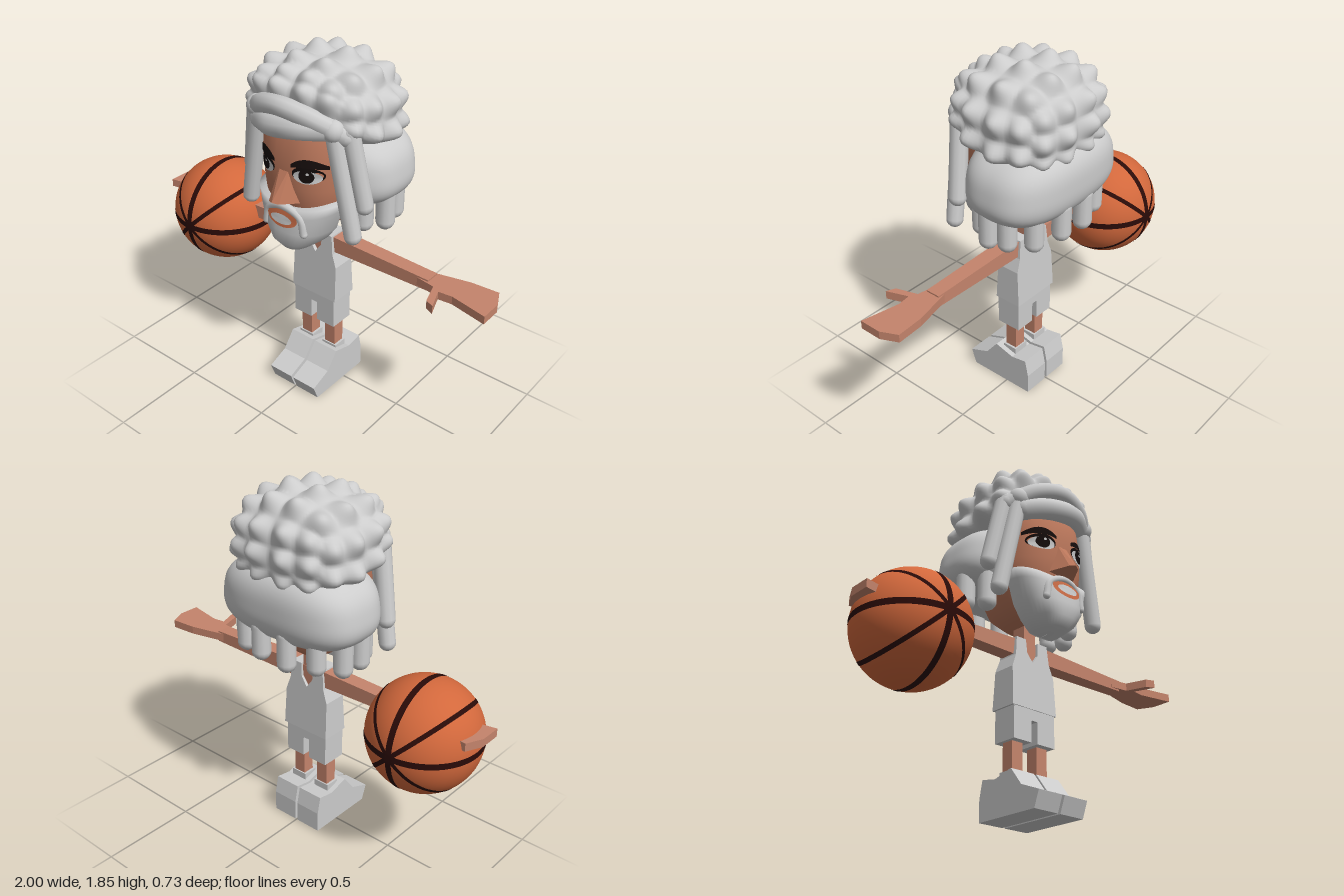
import * as THREE from 'three';
import { mergeVertices } from 'three/addons/utils/BufferGeometryUtils.js';
import { ConvexGeometry } from 'three/addons/geometries/ConvexGeometry.js';

const mat = (name, color, flatShading = false) =>
  Object.assign(new THREE.MeshStandardMaterial({ color, flatShading }), { name });
const V = (x, y, z) => new THREE.Vector3(x, y, z);

export function createModel() {
  const root = new THREE.Group();
  const skin = mat('skin', 0xc4846c), faceSkin = mat('face skin', 0xbc785c);
  const white = mat('pale grey', 0xcccccc), black = mat('black', 0x140c0b);
  const orange = mat('ball orange', 0xd2683c), seam = mat('ball seam', 0x2a0b08);
  const lip = mat('lip', 0xcb6d47);

  const add = (name, geo, material) => {
    const m = new THREE.Mesh(geo, material);
    m.name = name;
    root.add(m);
    return m;
  };
  // move every vertex by a rule
  const bend = (geo, rule) => {
    const p = geo.attributes.position, v = V(0, 0, 0);
    for (let i = 0; i < p.count; i++) {
      rule(v.fromBufferAttribute(p, i));
      p.setXYZ(i, v.x, v.y, v.z);
    }
    geo.computeVertexNormals();
    return geo;
  };
  const box = (name, w, h, d, x, y, z, m) => add(name, new THREE.BoxGeometry(w, h, d).translate(x, y, z), m);
  const extrude = (pts, depth) => new THREE.ExtrudeGeometry(
    new THREE.Shape(pts.map(([x, y]) => new THREE.Vector2(x, y))), { depth, bevelEnabled: false });
  const capsule = (name, a, b, r, m) => {
    const o = add(name, new THREE.CapsuleGeometry(r, a.distanceTo(b), 6, 12), m);
    o.position.copy(a).add(b).multiplyScalar(0.5);
    o.quaternion.setFromUnitVectors(V(0, 1, 0), b.clone().sub(a).normalize());
    return o;
  };
  const tube = (name, pts, r, m) => {
    add(name, new THREE.TubeGeometry(new THREE.CatmullRomCurve3(pts), 32, r, 10), m);
    for (const p of [pts[0], pts[pts.length - 1]])
      add(name + 'End', new THREE.SphereGeometry(r, 12, 8).translate(p.x, p.y, p.z), m);
  };
  // rounded cross-sections stacked upward; rows are [y, halfWidth, frontDepth, backDepth]
  const N = 2.5;
  const loft = (rows, zc, seg = 48) => {
    const pos = [], idx = [];
    const pw = t => Math.sign(t) * Math.abs(t) ** (2 / N);
    rows.forEach(([y, w, f, b], i) => {
      for (let j = 0; j < seg; j++) {
        const a = j / seg * Math.PI * 2, c = pw(Math.cos(a)), s = pw(Math.sin(a));
        pos.push(w * c, y, zc + s * (s > 0 ? f : b));
        if (i + 1 < rows.length) {
          const p = i * seg + j, q = i * seg + (j + 1) % seg;
          idx.push(p, p + seg, q, q, p + seg, q + seg);
        }
      }
    });
    const g = new THREE.BufferGeometry();
    g.setAttribute('position', new THREE.Float32BufferAttribute(pos, 3));
    g.setIndex(idx);
    g.computeVertexNormals();
    return g;
  };
  const frontZ = (rows, zc, x, y) => {
    let i = 0;
    while (i < rows.length - 2 && rows[i + 1][0] < y) i++;
    const [a, b] = [rows[i], rows[i + 1]], t = (y - a[0]) / (b[0] - a[0]);
    const mix = k => a[k] + (b[k] - a[k]) * t;
    return zc + mix(2) * Math.max(0, 1 - Math.abs(x / mix(1)) ** N) ** (1 / N);
  };
  // thin painted plate laid on a lofted surface
  const paint = (name, geo, rows, zc, off, m) =>
    add(name, bend(geo, v => { v.z = frontZ(rows, zc, v.x, v.y) + off; }), m);
  const oval = (rx, ry, x, y) => new THREE.CircleGeometry(1, 28).scale(rx, ry, 1).translate(x, y, 0);

  // head
  const head = [[0.98, 0.001, 0.001, 0.001], [0.985, 0.1, 0.14, 0.1], [1.04, 0.18, 0.23, 0.16],
    [1.15, 0.23, 0.27, 0.2], [1.25, 0.24, 0.28, 0.22], [1.38, 0.245, 0.285, 0.24],
    [1.52, 0.245, 0.26, 0.24], [1.62, 0.2, 0.2, 0.2], [1.63, 0.001, 0.001, 0.001]];
  add('head', loft(head, 0), faceSkin);
  const nose = [V(0, 1.2, 0.37), V(0, 1.165, 0.26)];
  for (const s of [-1, 1]) nose.push(V(s * 0.03, 1.37, 0.26), V(s * 0.03, 1.195, 0.355),
    V(s * 0.085, 1.18, 0.26), V(s * 0.07, 1.21, 0.27));
  add('nose', new ConvexGeometry(nose), faceSkin);

  // eyes and brows
  for (const s of [-1, 1]) {
    paint('eyeOutline', oval(0.07, 0.042, s * 0.122, 1.338), head, 0, 0.003, black);
    paint('eyeWhite', oval(0.062, 0.034, s * 0.122, 1.328), head, 0, 0.005, white);
    paint('iris', oval(0.034, 0.034, s * 0.122, 1.334), head, 0, 0.007, black);
    paint('eyeGlint', oval(0.007, 0.007, s * 0.122 + 0.008, 1.348), head, 0, 0.009, white);
    const brow = bend(new THREE.PlaneGeometry(0.155, 1, 12, 2), v => {
      const t = v.x / 0.0775;
      v.y = v.y * 0.04 * (1 - 0.55 * t * t) + 1.398 - 0.022 * t * t;
      v.x += s * 0.127;
    });
    paint('eyebrow', brow, head, 0, 0.006, black);
  }

  // beard, moustache and mouth
  const beard = [[0.9, 0.001, 0.05, 0.001], [0.905, 0.08, 0.15, 0.02], [0.95, 0.135, 0.185, 0.02],
    [1.02, 0.185, 0.19, 0.02], [1.1, 0.222, 0.18, 0.02], [1.145, 0.24, 0.17, 0.02], [1.165, 0.19, 0.1, 0.01]];
  add('beard', bend(loft(beard, 0.12), v => { if (v.y > 1.08) v.y += 0.04 * (v.x / 0.24) ** 2; }), white);
  paint('lips', oval(0.09, 0.046, 0, 1.093), beard, 0.12, 0.006, lip);
  paint('teeth', oval(0.064, 0.024, 0, 1.088), beard, 0.12, 0.01, white);
  tube('moustache', [V(-0.115, 1.03, 0.28), V(-0.095, 1.11, 0.28), V(0, 1.148, 0.288),
    V(0.095, 1.11, 0.28), V(0.115, 1.03, 0.28)], 0.02, white);

  // knobbly crown of hair
  const C = V(0, 1.5, -0.035);
  const crownPoint = d => {
    const u = d.clone().normalize(), n = 2.6;
    const r = (Math.abs(u.x / 0.325) ** n + Math.abs(u.y / (u.y > 0 ? 0.295 : 0.1)) ** n
      + Math.abs(u.z / 0.275) ** n) ** (-1 / n);
    const p = u.multiplyScalar(r);
    p.y += 0.1 * Math.min(1, Math.max(0, p.z / 0.25)) * (1 - Math.max(0, p.y) / 0.295);
    return p.add(C);
  };
  const knobs = [], knob = (x, y, z) => knobs.push(crownPoint(V(x, y, z).sub(C)));
  const cols = [-0.23, -0.08, 0.08, 0.23];
  for (const x of cols) {
    for (const z of [-0.22, -0.07, 0.08, 0.22]) knob(x, Math.abs(x) > 0.1 ? 1.75 : 1.8, z);
    for (const y of [1.67, 1.55, 1.43]) knob(x, y, -0.31);
    knob(x, 1.68, 0.25);
  }
  for (const s of [-1, 1]) for (const y of [1.63, 1.49])
    for (const z of [-0.24, -0.1, 0.04, 0.17]) knob(s * 0.33, y, z);
  const ball = (w, h) => {
    const g = new THREE.SphereGeometry(1, w, h);
    g.deleteAttribute('uv');
    g.deleteAttribute('normal');
    return mergeVertices(g, 1e-4);
  };
  add('hairCrown', bend(ball(128, 80), v => {
    const p = crownPoint(v);
    const lift = Math.max(...knobs.map(k => Math.exp(-((k.distanceTo(p) / 0.052) ** 2))));
    v.copy(p).addScaledVector(p.clone().sub(C).normalize(), 0.06 * lift);
  }), white);

  // smooth lower hair with hanging locks
  add('lowerHair', bend(ball(64, 40), v => {
    const n = 2.8, r = (Math.abs(v.x) ** n + Math.abs(v.y) ** n + Math.abs(v.z) ** n) ** (-1 / n);
    v.multiplyScalar(r);
    v.set(v.x * 0.4 * (1 - 0.08 * v.y), 1.3 + 0.2 * v.y, -0.105 + v.z * 0.25);
  }), white);
  for (let i = 0; i < 10; i++) {
    const a = THREE.MathUtils.degToRad(55 + i * 250 / 9);
    const x = Math.sin(a) * 0.34, z = -0.09 + Math.cos(a) * 0.21;
    capsule('hairLock', V(x, 1.18, z), V(x, 1.05 - 0.012 * (i % 2), z), 0.048, white);
  }

  // hair band, forelock and long front strands
  tube('hairBand', [V(-0.27, 1.54, 0.16), V(-0.14, 1.62, 0.25), V(0, 1.65, 0.28),
    V(0.14, 1.62, 0.25), V(0.27, 1.54, 0.16)], 0.048, white);
  tube('forelock', [V(-0.2, 1.515, 0.2), V(-0.07, 1.54, 0.265), V(0.08, 1.565, 0.265), V(0.21, 1.57, 0.19)], 0.058, white);
  for (const s of [-1, 1]) {
    capsule('frontStrand', V(s * 0.225, 1.55, 0.195), V(s * 0.32, 1.05, 0.17), 0.043, white);
    capsule('sideStrand', V(s * 0.28, 1.56, 0.15), V(s * 0.345, 1.2, 0.12), 0.045, white);
    add('strandKnot', new THREE.SphereGeometry(0.055, 16, 12).translate(s * 0.225, 1.57, 0.2), white);
  }

  // torso
  box('neck', 0.075, 0.22, 0.08, 0, 0.92, -0.005, skin);
  box('chest', 0.2, 0.19, 0.085, 0, 0.795, -0.005, skin);
  const half = [[0.14, 0.53], [0.135, 0.73], [0.11, 0.8], [0.1, 0.9], [0.04, 0.9], [0.035, 0.83]];
  const outline = [...half, [0, 0.78], ...half.map(([x, y]) => [-x, y]).reverse()];
  add('jersey', bend(extrude(outline, 0.15).translate(0, 0, -0.075),
    v => { v.z = v.z * (1 - 0.28 * (v.y - 0.53) / 0.37) - 0.003; }), white);
  const leg = [[0.13, 0.535], [0.13, 0.365], [0.02, 0.365], [0.018, 0.475]];
  add('shorts', extrude([...leg, ...leg.map(([x, y]) => [-x, y]).reverse()], 0.136).translate(0, 0, -0.068), white);

  // limbs on both sides
  const shoe = [[0.225, 0], [0.255, 0.08], [0.14, 0.125], [0.07, 0.215], [-0.04, 0.185],
    [-0.13, 0.2], [-0.15, 0.11], [-0.15, 0]];
  const hand = [[0.6, -0.038], [0.82, -0.09], [0.96, -0.1], [1, -0.015], [1, 0.1], [0.81, 0.062],
    [0.74, 0.07], [0.78, 0.18], [0.735, 0.16], [0.7, 0.05], [0.6, 0.035]];
  for (const s of [-1, 1]) {
    add('arm', bend(new THREE.BoxGeometry(0.57, 0.085, 0.085).translate(s * 0.375, 0, 0), v => {
      const t = (Math.abs(v.x) - 0.09) / 0.57;
      v.y = v.y * (1 - 0.3 * t) + 0.85 - 0.004 * t;
      v.z = v.z * (1 - 0.1 * t) - 0.005;
    }), skin);
    add('hand', extrude(hand.map(([x, z]) => [x * s, z]), 0.042).rotateX(Math.PI / 2).translate(0, 0.868, 0), skin);
    box('leg', 0.066, 0.22, 0.066, s * 0.078, 0.28, 0, skin);
    box('sock', 0.09, 0.06, 0.08, s * 0.078, 0.19, 0, white);
    add('shoe', extrude(shoe, 0.143).rotateY(-Math.PI / 2).translate(s * 0.079 + 0.0715, 0, 0), white);
  }

  // ball with seams meeting at front and back
  const B = V(-0.685, 0.765, -0.005);
  add('ball', new THREE.SphereGeometry(0.283, 64, 40).translate(B.x, B.y, B.z), orange);
  for (let i = 0; i < 4; i++) {
    const band = new THREE.CylinderGeometry(0.2845, 0.2845, i % 2 ? 0.022 : 0.032, 80, 1, true);
    add('ballSeam', band.rotateZ(i * Math.PI / 4).translate(B.x, B.y, B.z), seam);
  }
  return root;
}
